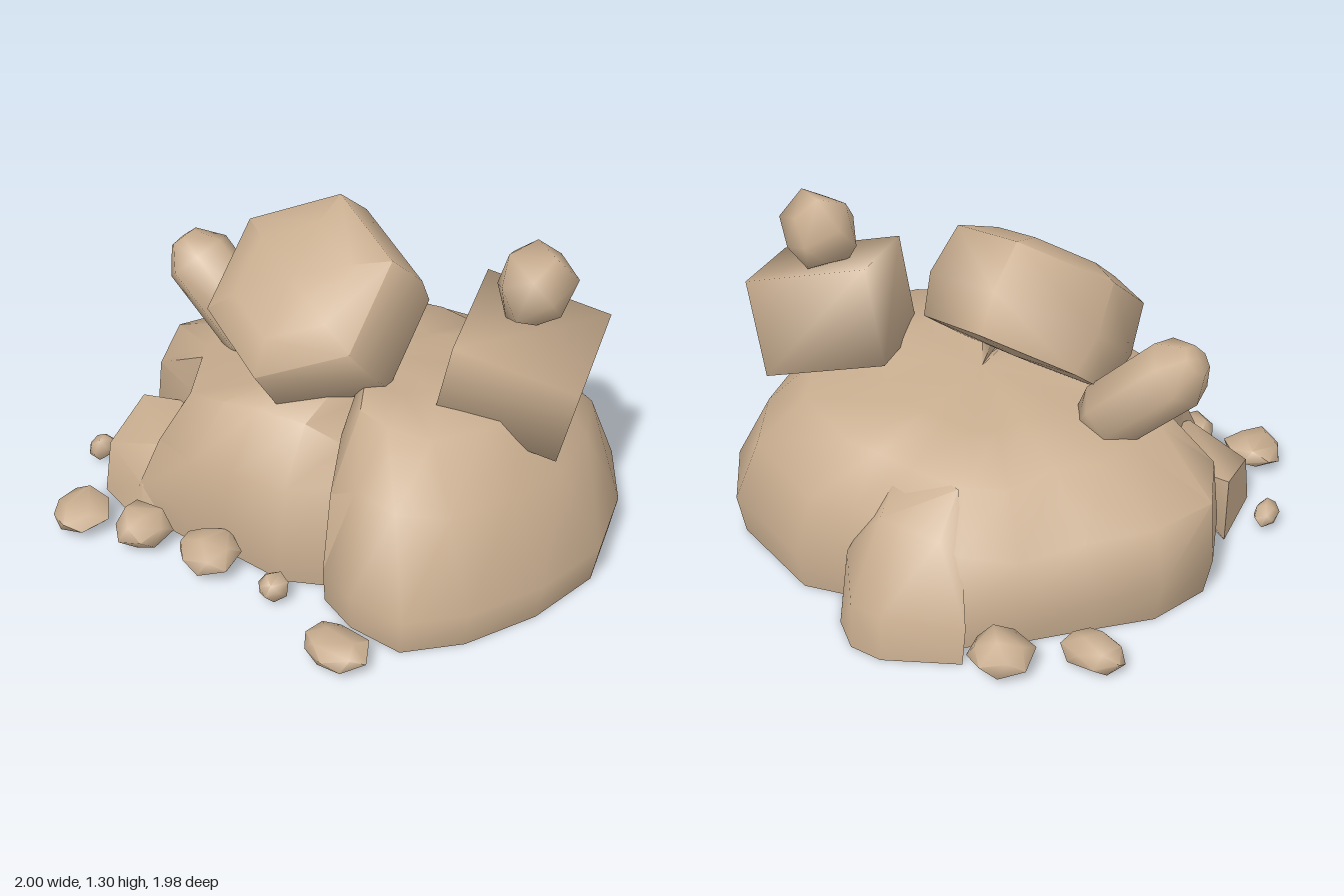
import * as THREE from 'three';
import { toCreasedNormals } from 'three/addons/utils/BufferGeometryUtils.js';
import { ConvexGeometry } from 'three/addons/geometries/ConvexGeometry.js';

const V = (x, y, z) => new THREE.Vector3(x, y, z);

// Mound rim, clockwise from above: x, z, shoulder scale, shoulder height, crown scale, crown height
const RIM = [
  [1.0, -0.22, 0.82, 0.45, 0.65, 0.68], [0.98, 0.1, 0.81, 0.46, 0.66, 0.69],
  [0.88, 0.4, 0.8, 0.46, 0.62, 0.69], [0.73, 0.6, 0.77, 0.48, 0.54, 0.71],
  [0.5, 0.62, 0.76, 0.5, 0.52, 0.72], [0.32, 0.57, 0.84, 0.44, 0.62, 0.6],
  [0.29, 0.49, 0.84, 0.42, 0.66, 0.53],
  [0.12, 0.6, 0.92, 0.42, 0.7, 0.63], [-0.15, 0.62, 0.95, 0.38, 0.75, 0.63],
  [-0.33, 0.67, 0.94, 0.38, 0.76, 0.62], [-0.56, 0.68, 0.9, 0.38, 0.76, 0.58],
  [-0.66, 0.34, 0.95, 0.4, 0.88, 0.57], [-0.87, 0.29, 0.97, 0.42, 0.74, 0.55],
  [-1.0, 0.05, 0.98, 0.43, 0.65, 0.57], [-0.94, -0.2, 0.96, 0.42, 0.65, 0.57],
  [-0.78, -0.4, 0.92, 0.38, 0.65, 0.57], [-0.61, -0.62, 0.92, 0.34, 0.7, 0.54],
  [-0.45, -0.78, 0.9, 0.38, 0.7, 0.56], [-0.15, -0.8, 0.92, 0.43, 0.74, 0.58],
  [0.08, -0.8, 0.92, 0.4, 0.74, 0.58], [0.25, -0.86, 0.92, 0.4, 0.72, 0.6],
  [0.67, -0.74, 0.9, 0.42, 0.7, 0.61], [0.87, -0.51, 0.86, 0.44, 0.66, 0.64],
];

// Loft of base, foot, shoulder and crown rings, closed above and below
function moundGeometry() {
  const cz = -0.05, n = RIM.length, pos = [], index = [];
  const ring = f => RIM.forEach(c => {
    const [s, y] = f(c);
    pos.push(c[0] * s, y, cz + (c[1] - cz) * s);
  });
  ring(() => [0.97, 0.01]);
  ring(() => [1, 0.17]);
  ring(c => [c[2], c[3]]);
  ring(c => [c[4], c[5]]);
  ring(c => [c[4] * 0.55, c[5] * 0.65 + 0.26]);
  pos.push(0, 0.69, cz, 0, 0.01, cz);
  const top = 5 * n, bottom = top + 1;
  for (let j = 0; j < n; j++) {
    const k = (j + 1) % n;
    for (let r = 0; r < 4; r++) {
      const a = r * n + j, b = r * n + k;
      index.push(a, a + n, b, b, a + n, b + n);
    }
    index.push(top, 4 * n + k, 4 * n + j, bottom, j, k);
  }
  const g = new THREE.BufferGeometry();
  g.setAttribute('position', new THREE.Float32BufferAttribute(pos, 3));
  g.setIndex(index);
  return g;
}

// Moves a geometry so its y axis follows up and its z axis leans toward side
function orient(g, center, up, side) {
  const y = up.clone().normalize();
  const x = y.clone().cross(side).normalize();
  const z = x.clone().cross(y);
  return g.applyMatrix4(new THREE.Matrix4().makeBasis(x, y, z).setPosition(center));
}

// Solid turned from radius and height pairs, with few sides
const turned = (points, sides) =>
  new THREE.LatheGeometry(points.map(p => new THREE.Vector2(...p)), sides);

// Irregular convex stone with half sizes sx, sy, sz
function stone(seed, sx, sy, sz) {
  let s = seed * 7919 + 13;
  const rand = () => (s = (s * 16807) % 2147483647) / 2147483647;
  for (let i = 0; i < 5; i++) rand();
  const points = [];
  for (let i = 0; i < 18; i++) {
    const y = 1 - (i + 0.5) / 9, a = i * 2.4 + seed, r = Math.sqrt(1 - y * y);
    points.push(V(r * Math.cos(a), y, r * Math.sin(a)).multiplyScalar(0.85 + 0.25 * rand()));
  }
  const g = new ConvexGeometry(points);
  g.computeBoundingBox();
  const c = g.boundingBox.getCenter(V(0, 0, 0)), d = g.boundingBox.getSize(V(0, 0, 0));
  g.translate(-c.x, -c.y, -c.z);
  return g.scale(2 * sx / d.x, 2 * sy / d.y, 2 * sz / d.z);
}

export function createModel() {
  const group = new THREE.Group();
  const sandstone = new THREE.MeshStandardMaterial({ color: 0xc8ad8f });
  sandstone.name = 'sandstone';
  const add = (name, geometry, crease) => {
    const mesh = new THREE.Mesh(toCreasedNormals(geometry, crease), sandstone);
    mesh.name = name;
    group.add(mesh);
  };

  add('mound', moundGeometry(), 1.1);

  // Boulders bulging out of the mound
  const bulges = {
    frontRightBulge: [
      [-0.87, 0.01, 0.36], [-0.87, 0.29, 0.36], [-0.6, 0.33, 0.28], [-0.8, 0.01, 0.65],
      [-0.8, 0.22, 0.61], [-0.53, 0.01, 0.71], [-0.54, 0.18, 0.68], [-0.55, 0.32, 0.58],
      [-0.35, 0.01, 0.6], [-0.5, 0.34, 0.4],
    ],
    backBulge: [
      [-0.25, 0.01, -0.98], [-0.12, 0.01, -0.99], [0, 0.01, -0.91], [0.1, 0.01, -0.78],
      [-0.5, 0.01, -0.82], [-0.25, 0.2, -0.97], [-0.12, 0.2, -0.98], [-0.5, 0.16, -0.8],
      [-0.34, 0.44, -0.74], [-0.1, 0.46, -0.78], [0.05, 0.25, -0.8], [-0.3, 0.56, -0.58],
      [-0.02, 0.56, -0.55],
    ],
  };
  for (const [name, pts] of Object.entries(bulges)) {
    add(name, new ConvexGeometry(pts.map(p => V(...p))), 1.0);
  }

  // Large six-sided slab leaning back on the crown, its face slightly domed
  const slab = turned([[0, -0.37], [0.37, -0.36], [0.41, -0.2], [0.38, 0], [0.24, 0.05], [0, 0.06]], 6);
  add('hexagonalSlab', orient(slab, V(-0.125, 1.055, 0.215), V(0.02, 0.76, 0.65),
    V(-0.1, 0.5, -0.58)), 1.2);

  // Tilted block with a round stone balanced on it
  add('tiltedBlock', orient(new THREE.BoxGeometry(0.48, 0.38, 0.43), V(0.594, 0.815, -0.214),
    V(0.295, 0.95, 0.098), V(0.16, -0.09, 0.39)), 1.7);
  add('balancedStone', stone(4, 0.142, 0.152, 0.145).translate(0.61, 1.16, -0.245), 1.7);

  // Leaning oblong stone
  const oblong = turned([[0, -0.3], [0.09, -0.3], [0.135, -0.2], [0.138, 0.17], [0.06, 0.265], [0, 0.27]], 7);
  add('leaningStone', orient(oblong, V(-0.645, 0.76, 0.1), V(-0.27, 0.28, 0.05), V(0, 0, 1)), 1.2);

  // Pebbles around the foot: x, y, z, then half sizes
  [
    [-0.955, 0.075, 0.525, 0.045, 0.055, 0.06], [-0.69, 0.08, 0.87, 0.12, 0.055, 0.12],
    [-0.44, 0.1, 0.79, 0.105, 0.07, 0.105], [-0.14, 0.1, 0.71, 0.125, 0.07, 0.11],
    [0.17, 0.08, 0.68, 0.058, 0.052, 0.06], [0.57, 0.075, 0.77, 0.135, 0.055, 0.1],
    [-0.63, 0.09, -0.76, 0.115, 0.075, 0.11], [-0.87, 0.075, -0.53, 0.125, 0.06, 0.085],
  ].forEach(([x, y, z, sx, sy, sz], i) =>
    add('pebble' + (i + 1), stone(i + 11, sx, sy, sz).translate(x, y, z), 1.2));

  return group;
}
